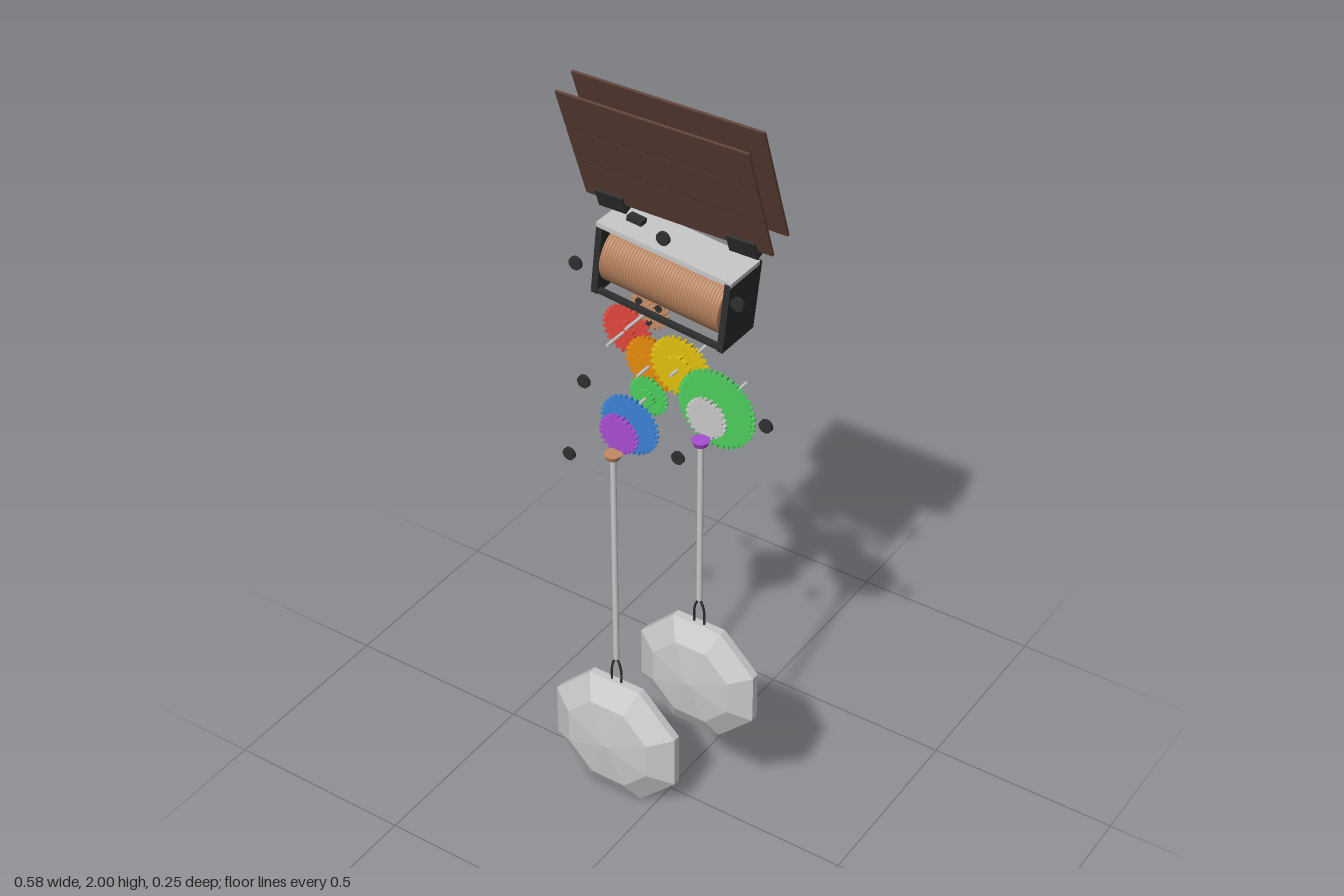
import * as THREE from 'three';

const mat = (name, color, extra = {}) => Object.assign(new THREE.MeshStandardMaterial({ color, ...extra }), { name });

export function createModel() {
  const root = new THREE.Group();
  root.name = 'clockworkParts';
  const M = {
    wood: mat('brown wood', 0x5d4037),
    dark: mat('dark metal', 0x2e2e2e),
    steel: mat('light steel', 0xc8c8c8),
    tan: mat('copper', 0xc18a64),
    red: mat('red', 0xe0483e),
    orange: mat('orange', 0xe58a0a),
    yellow: mat('yellow', 0xe0c010),
    green: mat('green', 0x4ccc5c),
    blue: mat('blue', 0x3b82d6),
    purple: mat('purple', 0xa84fd0),
  };
  const add = (name, geo, m, x = 0, y = 0, z = 0, parent = root) => {
    const mesh = new THREE.Mesh(geo, m);
    mesh.name = name;
    mesh.position.set(x, y, z);
    parent.add(mesh);
    return mesh;
  };
  const box = (name, w, h, d, m, x, y, z, parent) => add(name, new THREE.BoxGeometry(w, h, d), m, x, y, z, parent);
  // Cylinder lying along z
  const disc = (r, d, n = 20) => new THREE.CylinderGeometry(r, r, d, n).rotateX(Math.PI / 2);

  // Two leaning wooden panels, the front one made of three boards
  const lean = 0.345;
  box('backPanel', 0.485, 0.318, 0.006, M.wood, 0.0125, 1.85, -0.02).rotation.x = lean;
  const front = new THREE.Group();
  front.name = 'frontPanel';
  front.position.set(0.0125, 1.83, 0.04);
  front.rotation.x = lean;
  root.add(front);
  for (const i of [-1, 0, 1]) box('board', 0.485, 0.103, 0.006, M.wood, 0, i * 0.1065, 0, front);
  for (const i of [-1, 1]) box('boardSeam', 0.485, 0.004, 0.004, M.dark, 0, i * 0.053, 0, front);
  for (const x of [-0.162, 0.18]) box('hingeBlock', 0.072, 0.048, 0.045, M.dark, x, 1.687, -0.026).rotation.x = lean;

  // Winding drum in its tilted frame
  const drum = new THREE.Group();
  drum.name = 'windingDrum';
  drum.position.set(-0.023, 1.511, -0.054);
  drum.rotation.z = -0.105;
  root.add(drum);
  for (const s of [-1, 1]) {
    box('endPlate', 0.016, 0.183, 0.128, M.dark, s * 0.17, 0, 0, drum);
    box('lowerBar', 0.33, 0.01, 0.014, M.dark, 0, -0.085, s * 0.055, drum);
  }
  box('topPlate', 0.358, 0.012, 0.116, M.steel, 0, 0.092, 0.006, drum);
  box('topCatch', 0.04, 0.014, 0.022, M.dark, -0.112, 0.104, 0.004, drum);
  // Cord wound on the drum, one scallop for each turn
  const turns = 42, len = 0.318, profile = [new THREE.Vector2(0, -len / 2)];
  for (let i = 0; i <= turns * 4; i++) {
    profile.push(new THREE.Vector2(0.068 + 0.006 * Math.abs(Math.sin(i * Math.PI / 4)), (i / (turns * 4) - 0.5) * len));
  }
  profile.push(new THREE.Vector2(0, len / 2));
  add('woundCord', new THREE.LatheGeometry(profile, 36).rotateZ(-Math.PI / 2), M.tan, 0, 0, 0, drum);
  box('drumBracket', 0.04, 0.085, 0.014, M.dark, -0.105, 1.385, -0.098);

  // Toothed wheels
  const gearGeo = (r, teeth, depth) => {
    const shape = new THREE.Shape();
    const inner = r - Math.min(0.009, r * 0.14);
    for (let i = 0; i < teeth; i++) {
      [[0, inner], [0.42, inner], [0.55, r], [0.85, r]].forEach(([f, rad], k) => {
        const a = (i + f) / teeth * Math.PI * 2;
        shape[i + k === 0 ? 'moveTo' : 'lineTo'](Math.cos(a) * rad, Math.sin(a) * rad);
      });
    }
    shape.closePath();
    return new THREE.ExtrudeGeometry(shape, { depth, bevelEnabled: false }).translate(0, 0, -depth / 2);
  };
  // name, colour, x, y, z, radius, teeth, arbor front end
  const gears = [
    ['copperGear', M.tan, -0.108, 1.378, -0.078, 0.052, 20, 0.02],
    ['redGear', M.red, -0.16, 1.315, -0.06, 0.066, 26, 0.02],
    ['orangeGear', M.orange, -0.077, 1.262, -0.04, 0.072, 28, 0.02],
    ['yellowGear', M.yellow, 0.013, 1.297, -0.022, 0.08, 30, 0.02],
    ['smallGreenGear', M.green, -0.07, 1.19, -0.015, 0.052, 22, 0.02],
    ['largeGreenGear', M.green, 0.125, 1.238, 0, 0.103, 42, 0.05],
    ['blueGear', M.blue, -0.113, 1.1, 0, 0.08, 32, 0.05],
  ];
  for (const [name, m, x, y, z, r, teeth, end] of gears) {
    add(name, gearGeo(r, teeth, 0.008), m, x, y, z);
    if (end < 0.03) add(name + 'Pinion', gearGeo(r * 0.45, 12, 0.012), m, x, y, z + 0.009);
    add('arbor', disc(0.004, end + 0.125, 10), M.steel, x, y, (end - 0.125) / 2);
  }
  for (let i = 0; i < 3; i++) {
    const a = 0.5 + i * Math.PI * 2 / 3;
    add('copperGearPin', disc(0.009, 0.012, 10), M.dark, -0.108 + 0.031 * Math.cos(a), 1.378 + 0.031 * Math.sin(a), -0.076);
  }
  add('steelDriveGear', gearGeo(0.053, 22, 0.01), M.steel, 0.125, 1.238, 0.042);
  add('purpleDriveGear', gearGeo(0.053, 22, 0.01), M.purple, -0.113, 1.1, 0.045);

  // Round fixing studs
  for (const [x, y] of [[-0.003, 1.655], [-0.24, 1.51], [0.19, 1.555], [-0.225, 1.193], [0.27, 1.263], [0.037, 1.08], [-0.273, 0.966]]) {
    add('stud', disc(0.0165, 0.009, 16), M.dark, x, y, 0.0235);
  }

  // Hanging faceted weights with rod, hook and collar
  const hangWeight = (side, x, cy, r, halfDepth, rodLow, rodTop, collar) => {
    const z = 0.067;
    const R = r / Math.cos(Math.PI / 8);
    const pts = [[0, -halfDepth], [0.66 * R, -0.78 * halfDepth], [R, -0.01], [R, 0.01], [0.66 * R, 0.78 * halfDepth], [0, halfDepth]];
    const geo = new THREE.LatheGeometry(pts.map(p => new THREE.Vector2(...p)), 8).rotateY(Math.PI / 8).rotateX(Math.PI / 2).toNonIndexed();
    geo.computeVertexNormals();
    add(side + 'Weight', geo, M.steel, x, cy, z);
    add(side + 'Rod', new THREE.CylinderGeometry(0.0075, 0.0075, rodTop - rodLow, 12), M.steel, x, (rodTop + rodLow) / 2, z);
    const top = cy + r;
    const loop = new THREE.CatmullRomCurve3([
      [-0.014, top - 0.005], [-0.014, top + 0.035], [-0.008, rodLow - 0.012], [0, rodLow],
      [0.008, rodLow - 0.012], [0.014, top + 0.035], [0.014, top - 0.005],
    ].map(([px, py]) => new THREE.Vector3(px, py, 0)));
    add(side + 'Hook', new THREE.TubeGeometry(loop, 24, 0.003, 8), M.dark, x, 0, z);
    add(side + 'Collar', new THREE.CylinderGeometry(0.022, 0.016, 0.014, 16), collar, x, rodTop, z);
  };
  hangWeight('right', -0.115, 0.179, 0.179, 0.059, 0.43, 1.05, M.tan);
  hangWeight('left', 0.127, 0.5, 0.16, 0.051, 0.73, 1.187, M.purple);

  return root;
}
